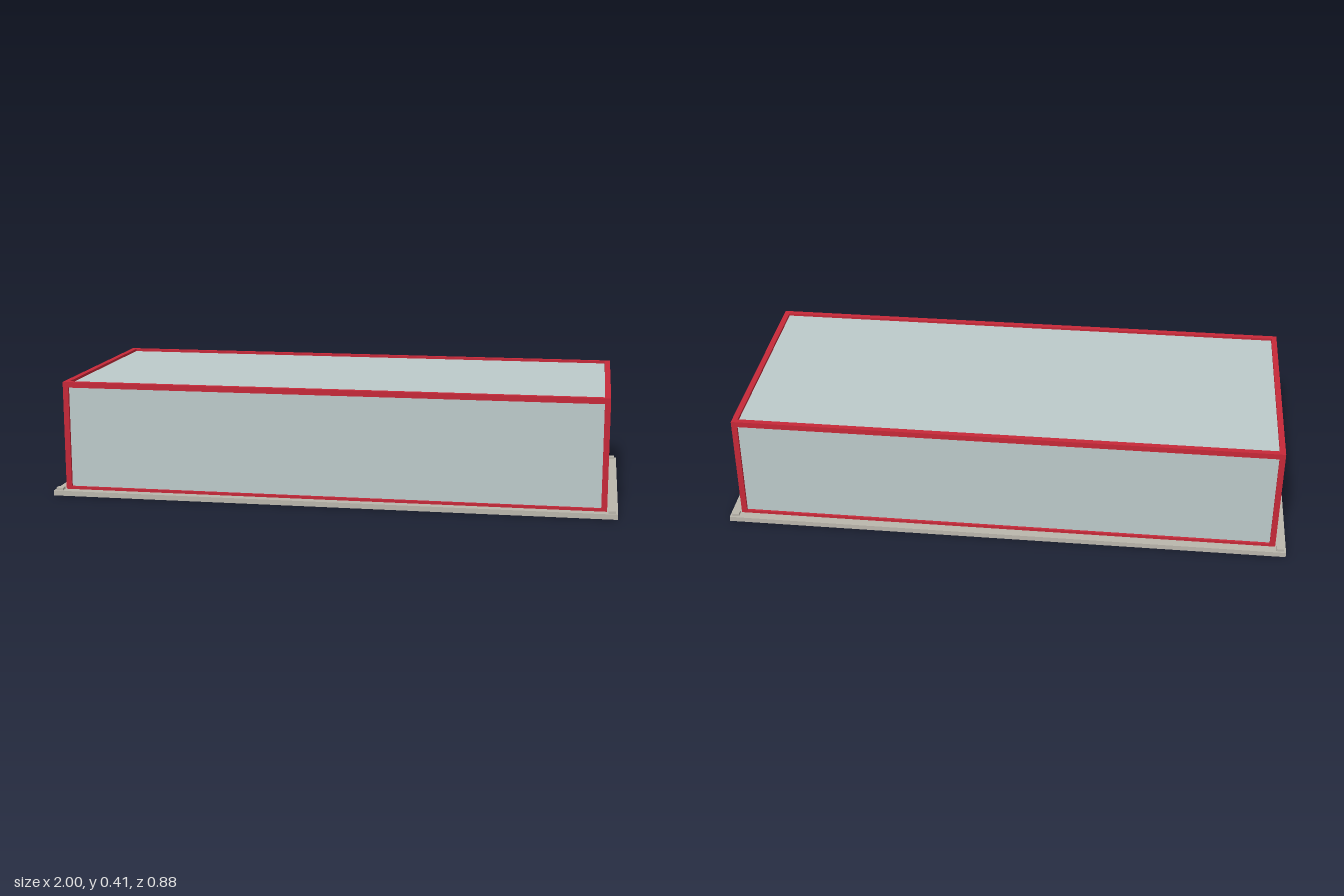
import * as THREE from 'three';

const material = (name, color) => {
  const m = new THREE.MeshStandardMaterial({ color });
  m.name = name;
  return m;
};

export function createModel() {
  const stone = material('stone grey', 0xbab6ac);
  const red = material('frame red', 0xc62838);
  const glass = material('pale glass', 0xbccaca);
  const group = new THREE.Group();

  const box = (name, mat, w, h, d, x, y, z) => {
    const mesh = new THREE.Mesh(new THREE.BoxGeometry(w, h, d), mat);
    mesh.name = name;
    mesh.position.set(x, y, z);
    group.add(mesh);
  };

  const X = 0.963, Z = 0.407;      // outer half sizes of the frame
  const top = 0.41, bottom = 0.008;
  const t = 0.02;                  // beam thickness
  const inset = 0.009;             // panels sit back inside the beams

  // Base slab with a small pad in each corner
  box('baseSlab', stone, 2, 0.018, 0.88, 0, 0.009, 0);
  for (const sx of [-1, 1]) {
    for (const sz of [-1, 1]) {
      box('cornerPad', stone, 0.025, 0.01, 0.025, sx * 0.98, 0.022, sz * 0.42);
      box('cornerPost', red, t, top - bottom - 2 * t, t,
        sx * (X - t / 2), (top + bottom) / 2, sz * (Z - t / 2));
    }
  }

  // Upper and lower rails
  for (const y of [bottom + t / 2, top - t / 2]) {
    for (const s of [-1, 1]) {
      box('longRail', red, 2 * X, t, t, 0, y, s * (Z - t / 2));
      box('sideRail', red, t, t, 2 * (Z - t), s * (X - t / 2), y, 0);
    }
  }

  // Glazed body: four walls and the roof
  const h = top - inset - 0.018;
  box('glassBody', glass, 2 * (X - inset), h, 2 * (Z - inset), 0, 0.018 + h / 2, 0);

  return group;
}
